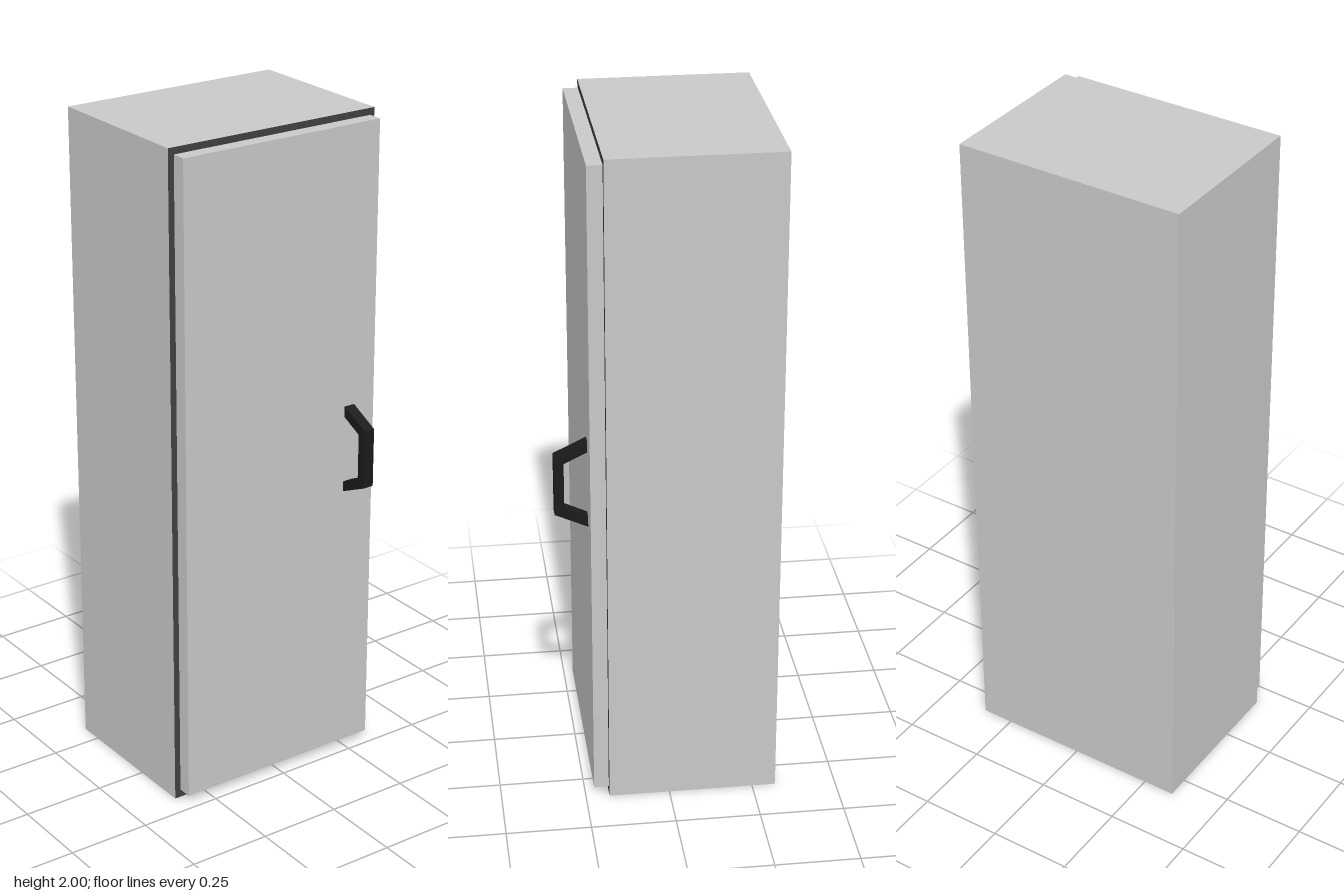
import * as THREE from 'three';

const grey = new THREE.MeshStandardMaterial({ color: 0xc8c8c8, side: THREE.DoubleSide });
grey.name = 'light grey';
const dark = new THREE.MeshStandardMaterial({ color: 0x404040, side: THREE.DoubleSide });
dark.name = 'dark grey';
const black = new THREE.MeshStandardMaterial({ color: 0x1a1a1a });
black.name = 'black';

const W = 0.695, H = 2, BACK = -0.32, FRONT = 0.18;
const D = FRONT - BACK, MID = (FRONT + BACK) / 2;

export function createModel() {
  const model = new THREE.Group();
  model.name = 'cabinet';

  const add = (name, geometry, material, x, y, z, parent = model) => {
    const mesh = new THREE.Mesh(geometry, material);
    mesh.name = name;
    mesh.position.set(x, y, z);
    parent.add(mesh);
    return mesh;
  };

  // Thin-walled body, open underneath
  const body = new THREE.Group();
  body.name = 'body';
  model.add(body);
  add('backWall', new THREE.PlaneGeometry(W, H).rotateY(Math.PI), grey, 0, H / 2, BACK, body);
  add('topWall', new THREE.PlaneGeometry(W, D).rotateX(-Math.PI / 2), grey, 0, H, MID, body);
  for (const s of [1, -1]) {
    add(s > 0 ? 'leftWall' : 'rightWall',
      new THREE.PlaneGeometry(D, H).rotateY(s * Math.PI / 2), grey, s * W / 2, H / 2, MID, body);
  }

  // Dark panel closing the front, seen as a border around the door
  add('frontPanel', new THREE.PlaneGeometry(W, H), dark, 0, H / 2, FRONT);

  // Door slab
  add('door', new THREE.BoxGeometry(0.662, 1.955, 0.044), grey, 0.002, 1.0025, FRONT + 0.0225);

  // Angular pull handle: profile in depth and height, extruded across the width
  const profile = new THREE.Shape([
    [0.224, 0.868], [0.32, 0.912], [0.32, 1.092], [0.224, 1.138],
    [0.224, 1.105], [0.292, 1.072], [0.292, 0.932], [0.224, 0.9],
  ].map(([z, y]) => new THREE.Vector2(z, y)));
  const handle = new THREE.ExtrudeGeometry(profile, { depth: 0.034, bevelEnabled: false });
  add('handle', handle.rotateY(-Math.PI / 2), black, 0.262, 0, 0);

  return model;
}
